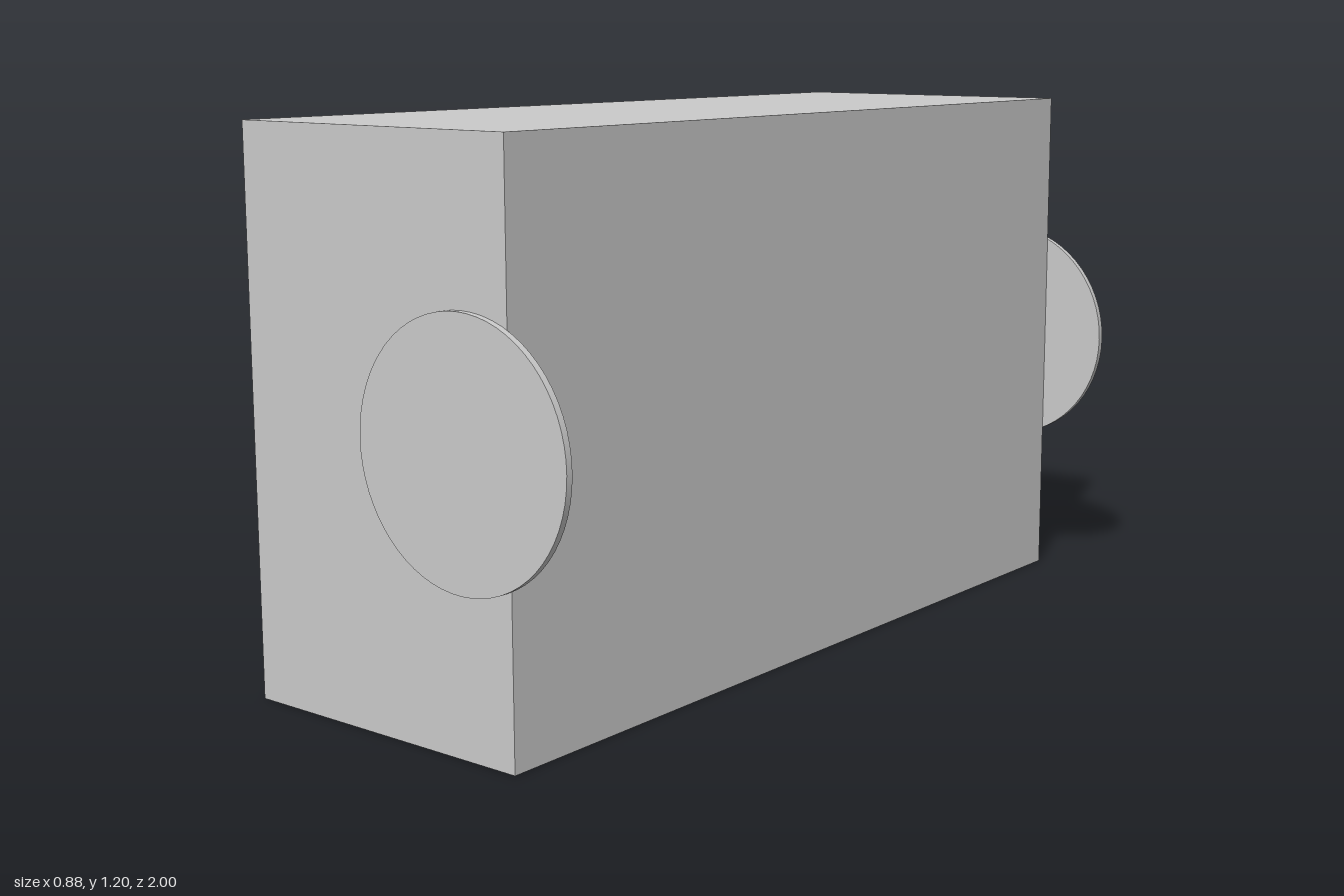
import * as THREE from 'three';

export function createModel() {
  const model = new THREE.Group();
  model.name = 'blockWithEndDiscs';
  const material = new THREE.MeshStandardMaterial({ color: 0xcccccc });

  const height = 1.2, halfLength = 0.985, discThickness = 0.015;

  // Long rectangular body
  const body = new THREE.Mesh(new THREE.BoxGeometry(0.72, height, halfLength * 2), material);
  body.name = 'body';
  body.position.set(-0.08, height / 2, 0);
  model.add(body);

  // Thin round disc on each end, overhanging the +x side
  const discGeometry = new THREE.CylinderGeometry(0.27, 0.27, discThickness, 64);
  discGeometry.rotateX(Math.PI / 2);
  for (const [name, side] of [['frontDisc', 1], ['backDisc', -1]]) {
    const disc = new THREE.Mesh(discGeometry, material);
    disc.name = name;
    disc.position.set(0.165, height / 2, side * (halfLength + discThickness / 2));
    model.add(disc);
  }

  return model;
}
